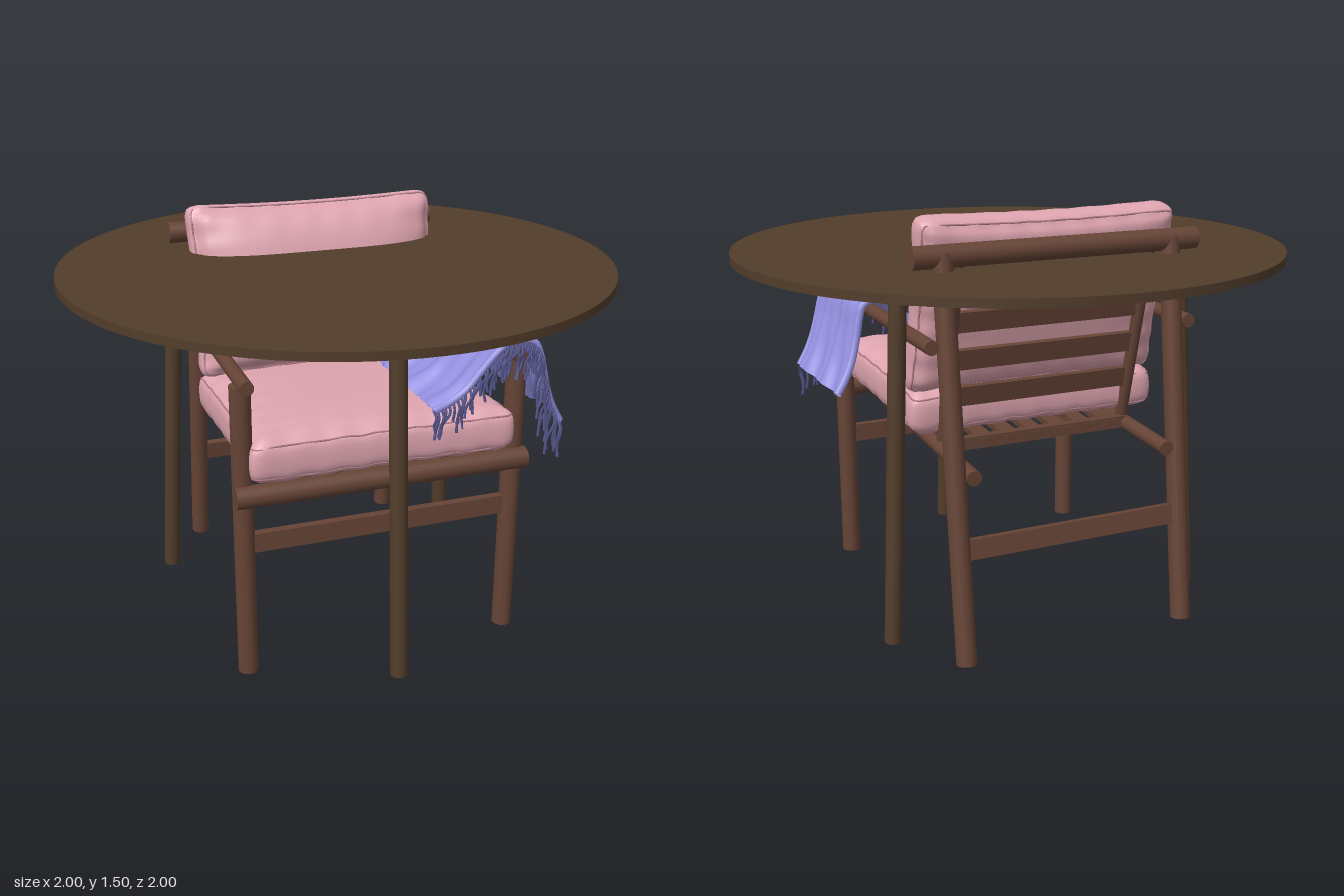
import * as THREE from 'three';
import { mergeVertices, mergeGeometries } from 'three/addons/utils/BufferGeometryUtils.js';

const mat = (color) => new THREE.MeshStandardMaterial({ color });
const V = (x, y, z) => new THREE.Vector3(x, y, z);

export function createModel() {
  const root = new THREE.Group();
  const chairWood = mat(0x64422f), tableWood = mat(0x523d2b), pink = mat(0xdfa5b0);
  const seamPink = mat(0xb57f8b), blue = mat(0x9490e0), darkBlue = mat(0x55558c);
  chairWood.color.set(0x664436);
  blue.side = THREE.DoubleSide;

  const add = (parent, name, geo, material) => {
    const m = new THREE.Mesh(geo, material);
    m.name = name;
    parent.add(m);
    return m;
  };
  // round bar between two points
  const bar = (parent, name, a, b, r0, r1, material) => {
    const m = add(parent, name, new THREE.CylinderGeometry(r1, r0, a.distanceTo(b), 20), material);
    m.position.copy(a).lerp(b, 0.5);
    m.quaternion.setFromUnitVectors(V(0, 1, 0), b.clone().sub(a).normalize());
    return m;
  };
  const box = (parent, name, w, h, d, x, y, z, material) => {
    const m = add(parent, name, new THREE.BoxGeometry(w, h, d), material);
    m.position.set(x, y, z);
    return m;
  };

  // ---- round table on three splayed legs
  const table = new THREE.Group();
  table.name = 'table';
  root.add(table);
  add(table, 'tableTop', new THREE.CylinderGeometry(1, 1, 0.03, 96), tableWood).position.y = 1.31;
  for (let i = 0; i < 3; i++) {
    const leg = new THREE.Group();
    leg.name = 'tableLeg';
    leg.rotation.y = (i * Math.PI * 2) / 3;
    bar(leg, 'legPost', V(0, 0, 0.695), V(0, 1.28, 0.62), 0.031, 0.031, tableWood);
    box(leg, 'underTopBeam', 0.07, 0.018, 0.68, 0, 1.286, 0.34, tableWood);
    table.add(leg);
  }

  // ---- chair frame
  const chair = new THREE.Group();
  chair.name = 'chair';
  root.add(chair);
  const tilt = 0.228;
  for (const s of [-1, 1]) {
    bar(chair, 'frontLeg', V(s * 0.495, 0, 0.495), V(s * 0.495, 1.08, 0.495), 0.036, 0.036, chairWood);
    bar(chair, 'rearLeg', V(s * 0.425, 0, -0.6), V(s * 0.425, 1.38, -0.425), 0.036, 0.036, chairWood);
    bar(chair, 'armRest', V(s * 0.485, 1.085, 0.55), V(s * 0.485, 1.085, -0.48), 0.025, 0.025, chairWood);
    bar(chair, 'seatSideRail', V(s * 0.37, 0.69, 0.53), V(s * 0.37, 0.645, -0.55), 0.027, 0.027, chairWood);
    bar(chair, 'backUpright', V(s * 0.36, 0.66, -0.23), V(s * 0.36, 1.36, -0.405), 0.022, 0.022, chairWood);
  }
  bar(chair, 'frontRail', V(-0.53, 0.695, 0.53), V(0.53, 0.695, 0.53), 0.039, 0.039, chairWood);
  bar(chair, 'topRail', V(-0.53, 1.37, -0.42), V(0.53, 1.37, -0.42), 0.039, 0.039, chairWood);
  box(chair, 'frontStretcher', 0.94, 0.07, 0.03, 0, 0.505, 0.495, chairWood);
  box(chair, 'rearStretcher', 0.8, 0.07, 0.03, 0, 0.395, -0.55, chairWood).rotation.x = 0.13;
  box(chair, 'seatBackCrossbar', 0.74, 0.045, 0.035, 0, 0.665, -0.25, chairWood);
  for (let i = 0; i < 7; i++) {
    box(chair, 'seatSlat', 0.06, 0.02, 0.8, -0.3 + i * 0.1, 0.684, 0.13, chairWood).rotation.x = -0.042;
  }
  for (let i = 0; i < 4; i++) {
    const y = 0.85 + i * 0.14;
    box(chair, 'backSlat', 0.74, 0.075, 0.02, 0, y, -0.23 - (y - 0.66) * 0.25, chairWood).rotation.x = -tilt;
  }

  // ---- cushions: rounded slabs, domed top and bottom, with stitched seams
  const cushion = (name, w, t, d, r, topDome, bottomDome) => {
    const half = V(w / 2, t / 2, d / 2);
    const inner = half.clone().subScalar(r);
    const shape = (x, y, z) => {
      const P = V(x, y, z).multiply(half);
      const q = P.clone().clamp(inner.clone().negate(), inner);
      const off = P.clone().sub(q);
      q.addScaledVector(off.normalize(), r);
      const dome = (1 - x ** 4) * (1 - z ** 4);
      q.y += (y > 0 ? topDome : bottomDome) * dome * y;
      // puffy sides, drawn-out corners and slight puckers
      const side = 0.012 * (1 - y * y);
      q.x += Math.sign(x) * side * Math.abs(x) ** 6 + x * 0.012 * z * z;
      q.z += Math.sign(z) * side * Math.abs(z) ** 6 + z * 0.012 * x * x;
      q.y += 0.003 * Math.sin(x * 23 + z * 3) * z ** 4 + 0.003 * Math.sin(z * 21) * x ** 4;
      return q;
    };
    const g = new THREE.Group();
    g.name = name;
    let geo = new THREE.BoxGeometry(2, 2, 2, 40, 12, 40);
    geo.deleteAttribute('uv');
    geo.deleteAttribute('normal');
    geo = mergeVertices(geo);
    const p = geo.attributes.position;
    for (let i = 0; i < p.count; i++) {
      const q = shape(p.getX(i), p.getY(i), p.getZ(i));
      p.setXYZ(i, q.x, q.y, q.z);
    }
    geo.computeVertexNormals();
    add(g, 'cushionBody', geo, pink);
    for (const y of [-0.72, 0.72]) {
      const pts = [];
      for (let i = 0; i < 64; i++) {
        const a = (i / 64) * Math.PI * 2, c = Math.cos(a), s = Math.sin(a);
        const m = Math.max(Math.abs(c), Math.abs(s));
        pts.push(shape(c / m, y, s / m));
      }
      add(g, 'seam', new THREE.TubeGeometry(new THREE.CatmullRomCurve3(pts, true), 160, 0.0035, 5, true), seamPink);
    }
    chair.add(g);
    return g;
  };
  const seat = cushion('seatCushion', 0.92, 0.165, 0.78, 0.045, 0.025, 0.005);
  seat.position.set(0, 0.8, 0.15);
  seat.rotation.x = -0.03;
  const back = cushion('backCushion', 0.92, 0.135, 0.6, 0.045, 0.075, 0.02);
  back.position.set(0, 1.175, -0.255);
  back.rotation.x = Math.PI / 2 - 0.25;

  // ---- folded blanket draped over the left arm
  const blanket = new THREE.Group();
  blanket.name = 'blanket';
  root.add(blanket);
  const drape = new THREE.CatmullRomCurve3([
    V(0.17, 0.925, 0), V(0.27, 0.965, 0), V(0.36, 1.06, 0), V(0.43, 1.135, 0), V(0.49, 1.15, 0),
    V(0.55, 1.125, 0), V(0.59, 1.02, 0), V(0.635, 0.91, 0), V(0.69, 0.82, 0),
  ]);
  const clothPoint = (u, v, drop) => {
    const q = drape.getPoint(u), t = drape.getTangent(u);
    const fall = Math.abs(u - 0.5) * 2;
    const fold = (0.012 * Math.sin(v * 15 + u * 4) + 0.006 * Math.sin(v * 31 - u * 9)) * fall - drop;
    const z = 0.53 - v * (0.5 - 0.05 * Math.sin(u * 3)) - 0.02 * fall * Math.sin(u * 8);
    return V(q.x - t.y * fold - 0.05 * v * Math.max(0, u - 0.6), q.y + t.x * fold, z);
  };
  for (const [drop, end] of [[0, 1], [0.012, 0.97], [0.024, 0.93]]) {
    const geo = new THREE.PlaneGeometry(1, 1, 48, 40);
    const p = geo.attributes.position;
    for (let i = 0; i < p.count; i++) {
      const q = clothPoint((p.getX(i) + 0.5) * end, p.getY(i) + 0.5, drop);
      p.setXYZ(i, q.x, q.y, q.z);
    }
    geo.computeVertexNormals();
    add(blanket, 'blanketLayer', geo, blue);
  }
  // rolled hems closing the folded sides
  for (const v of [0, 1]) {
    const pts = Array.from({ length: 14 }, (_, i) => clothPoint(i / 13, v, 0.01));
    add(blanket, 'foldedHem', new THREE.TubeGeometry(new THREE.CatmullRomCurve3(pts), 50, 0.014, 8), blue);
  }
  // twisted fringe hanging from the front edge
  let seed = 7;
  const rnd = () => (seed = (seed * 16807) % 2147483647) / 2147483647;
  const strands = [];
  for (let i = 0; i < 56; i++) {
    const u = i / 55, a = clothPoint(u, 0, 0.01);
    const len = 0.07 + 0.05 * u + rnd() * 0.04, lean = (rnd() - 0.5) * 0.04 - 0.02;
    const out = 0.02 + rnd() * 0.025;
    strands.push(new THREE.TubeGeometry(new THREE.CatmullRomCurve3([
      a,
      V(a.x + lean * 0.3, a.y - len * 0.25, a.z + out),
      V(a.x + lean + (rnd() - 0.5) * 0.02, a.y - len * 0.65, a.z + out * 0.9),
      V(a.x + lean * 1.2, a.y - len, a.z + out * 1.1),
    ]), 8, 0.005, 5));
  }
  add(blanket, 'fringe', mergeGeometries(strands), darkBlue);
  return root;
}
